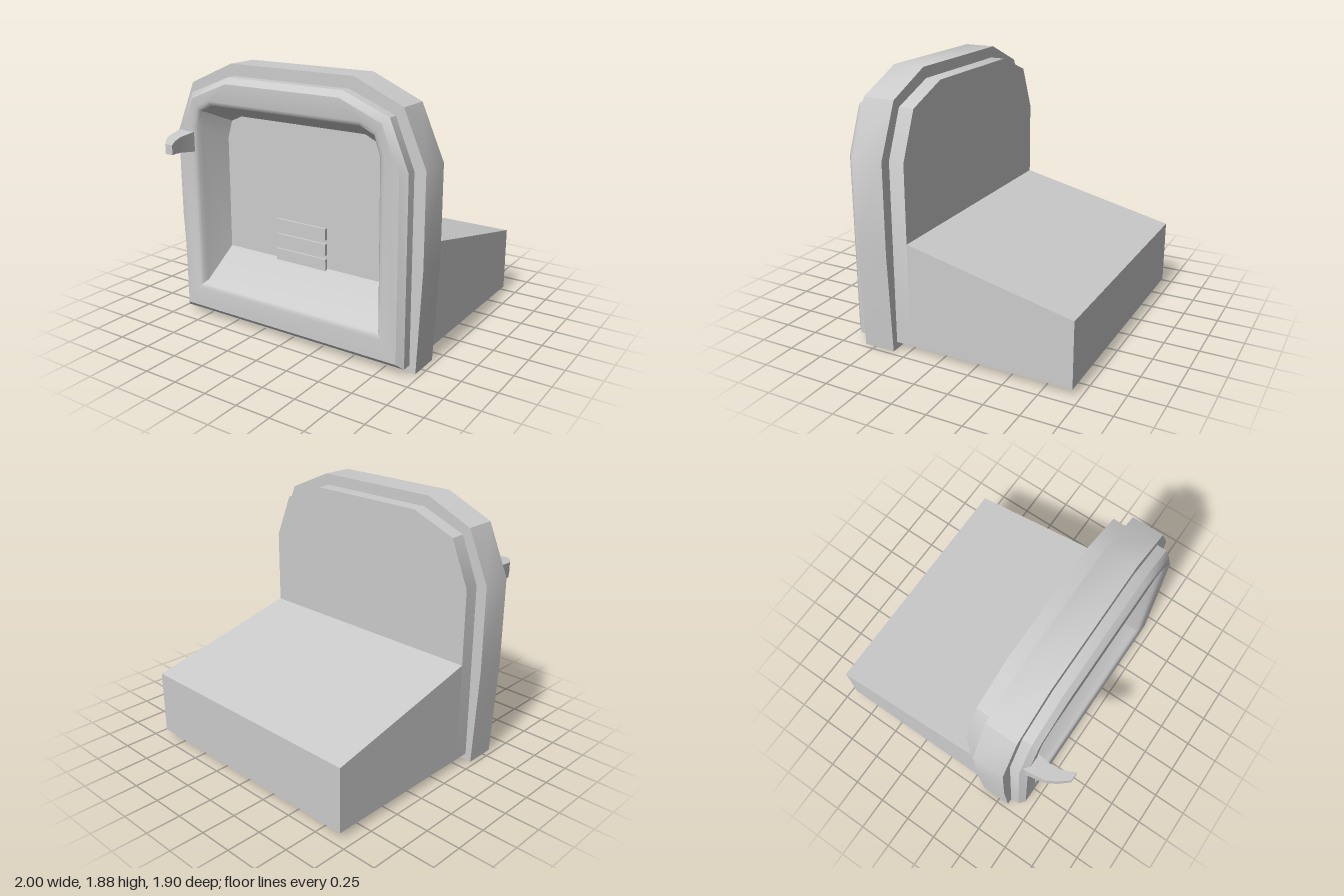
import * as THREE from 'three';
import { toCreasedNormals } from 'three/addons/utils/BufferGeometryUtils.js';

const material = new THREE.MeshStandardMaterial({ color: 0xcccccc });
const CREASE = 0.6;

// Mirrors the right-hand half of an outline (bottom to top) into a counter-clockwise loop.
const mirror = (half) => [...half, ...half.slice().reverse().map(([x, y]) => [-x, y])];

// Blends two outlines with the same number of points.
const blend = (a, b, t) => a.map(([x, y], i) => [x + (b[i][0] - x) * t, y + (b[i][1] - y) * t]);

// Skins a list of { z, outline } rings and closes both ends.
function loft(rings) {
  const pos = [];
  const tri = (...pts) => pts.forEach((p) => pos.push(...p));
  const loops = rings.map(({ z, outline }) => outline.map(([x, y]) => [x, y, z]));
  const n = loops[0].length;
  for (let k = 0; k < loops.length - 1; k++) {
    for (let i = 0; i < n; i++) {
      const j = (i + 1) % n;
      const a = loops[k][i], b = loops[k][j], c = loops[k + 1][j], d = loops[k + 1][i];
      tri(a, b, c);
      tri(a, c, d);
    }
  }
  const first = loops[0], last = loops[loops.length - 1];
  for (let i = 1; i < n - 1; i++) {
    tri(first[0], first[i + 1], first[i]);
    tri(last[0], last[i], last[i + 1]);
  }
  const geometry = new THREE.BufferGeometry();
  geometry.setAttribute('position', new THREE.Float32BufferAttribute(pos, 3));
  return toCreasedNormals(geometry, CREASE);
}

const toPoints = (outline) => outline.map(([x, y]) => new THREE.Vector2(x, y));

export function createModel() {
  const group = new THREE.Group();
  const add = (name, geometry) => {
    const mesh = new THREE.Mesh(geometry, material);
    mesh.name = name;
    group.add(mesh);
    return mesh;
  };

  const bodyOutline = mirror([[0.92, 0.05], [0.92, 1.34], [0.785, 1.665], [0.455, 1.795]]);
  const bevelOutline = mirror([[0.88, 0.09], [0.878, 1.325], [0.755, 1.63], [0.45, 1.755]]);
  const lipOuter = mirror([[0.775, 0.23], [0.775, 1.44], [0.725, 1.575], [0.6, 1.625]]);
  const lipInner = mirror([[0.725, 0.285], [0.72, 1.42], [0.68, 1.535], [0.59, 1.58]]);
  const recessBack = mirror([[0.635, 0.52], [0.63, 1.33], [0.592, 1.455], [0.505, 1.495]]);

  // Arched housing: outer shell, bevelled front, rounded lip and tapering recess
  add('housing', loft([
    { z: 0.24, outline: bodyOutline },
    { z: 0.65, outline: bodyOutline },
    { z: 0.69, outline: bevelOutline },
    { z: 0.69, outline: lipOuter },
    { z: 0.683, outline: blend(lipOuter, lipInner, 0.48) },
    { z: 0.668, outline: blend(lipOuter, lipInner, 0.76) },
    { z: 0.64, outline: lipInner },
    { z: 0.47, outline: recessBack },
  ]));

  // Flange band around the housing
  const flangeShape = new THREE.Shape(toPoints(mirror(
    [[0.965, 0], [1, 0.72], [1, 1.355], [0.84, 1.72], [0.487, 1.875]])));
  flangeShape.holes.push(new THREE.Path(toPoints(bodyOutline)));
  const flange = new THREE.ExtrudeGeometry(flangeShape, { depth: 0.23, bevelEnabled: false });
  flange.translate(0, 0, 0.35);
  add('flange', toCreasedNormals(flange, CREASE));

  // Low rear box with a sloping top, drawn from the side and swept across x
  const side = new THREE.Shape(toPoints([[-0.24, 0.05], [0.95, 0.05], [0.95, 0.52], [-0.24, 0.79]]));
  const rear = new THREE.ExtrudeGeometry(side, { depth: 1.84, bevelEnabled: false });
  rear.translate(0, 0, -0.92).rotateY(Math.PI / 2);
  add('rearBox', rear);

  // Three raised bars on the back wall of the recess
  for (let i = 0; i < 3; i++) {
    add(`ventBar${i + 1}`, new THREE.BoxGeometry(0.415, 0.082, 0.04))
      .position.set(0, 0.55 + i * 0.11, 0.47);
  }

  // Curved tapering hook: [z, outer x, inner x, half height]
  const hookSections = [
    [0.62, -0.89, -0.755, 0.07],
    [0.69, -0.888, -0.755, 0.07],
    [0.81, -0.868, -0.766, 0.054],
    [0.885, -0.825, -0.742, 0.044],
    [0.95, -0.77, -0.707, 0.034],
  ];
  add('hook', loft(hookSections.map(([z, xo, xi, h]) => ({
    z,
    outline: [[xo, 1.325 - h], [xi, 1.325 - h], [xi, 1.325 + h], [xo, 1.325 + h]],
  }))));

  return group;
}
